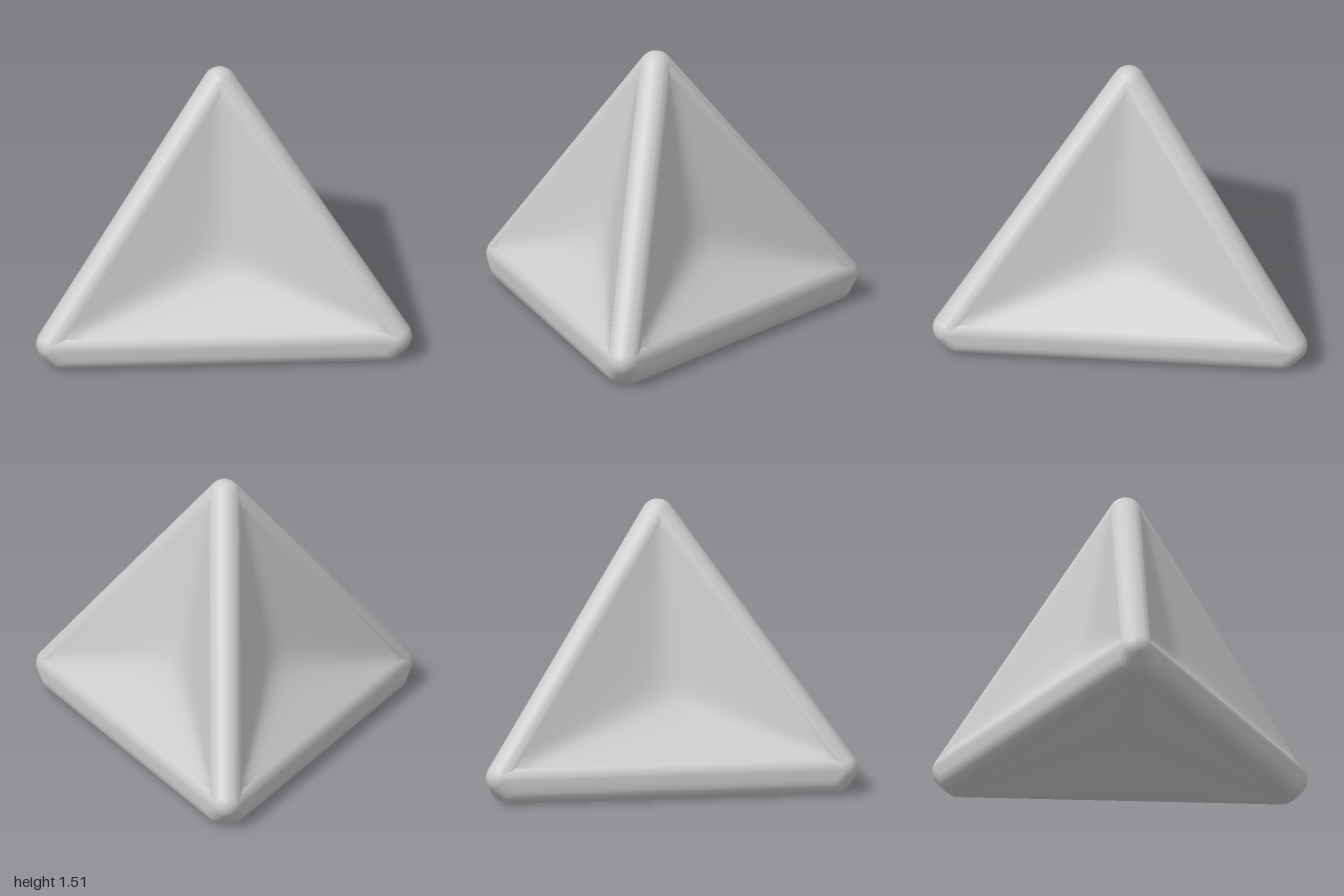
import * as THREE from 'three';
import { ConvexGeometry } from 'three/addons/geometries/ConvexGeometry.js';
import { toCreasedNormals } from 'three/addons/utils/BufferGeometryUtils.js';

const R = 0.09;          // edge rounding radius
const AXIS_Z = 0.27;     // vertical axis of the three-fold symmetry
const REACH = 1.05;      // corner distance from the axis
const TRIM = 0.05;       // how far the lower rim is cut back at each corner
const DENT = 0.172;      // depth of the hollow faces
const TILT = 0.38;       // slope of the hollow next to the edges

const corner = (i, y) => {
  const a = Math.PI + (i * 2 * Math.PI) / 3;
  return new THREE.Vector3(Math.sin(a) * REACH, y, AXIS_Z + Math.cos(a) * REACH);
};

// Smooth convex skin around equal spheres
function roundedHull(centres) {
  const ball = new THREE.SphereGeometry(R, 20, 14).attributes.position;
  const points = [];
  for (const c of centres) {
    for (let i = 0; i < ball.count; i++) {
      points.push(new THREE.Vector3().fromBufferAttribute(ball, i).add(c));
    }
  }
  return toCreasedNormals(new ConvexGeometry(points), 0.8);
}

// Triangular face sinking towards its middle, with softened valleys to the corners
function hollowFace(corners, weights, middle) {
  let [a, b, c] = corners;
  const normal = b.clone().sub(a).cross(c.clone().sub(a)).normalize();
  if (normal.dot(a.clone().sub(middle)) < 0) {
    normal.negate();
    [b, c] = [c, b];
  }
  // Inset towards the incentre so the face meets the rounded edges tangentially
  const la = b.distanceTo(c), lb = c.distanceTo(a), lc = a.distanceTo(b);
  const sum = la + lb + lc;
  const incentre = a.clone().multiplyScalar(la / sum).addScaledVector(b, lb / sum).addScaledVector(c, lc / sum);
  const area = b.clone().sub(a).cross(c.clone().sub(a)).length() / 2;
  const inset = (R * Math.sin(TILT)) / ((2 * area) / sum);
  const [p, q, r] = [a, b, c].map((v) => v.clone().lerp(incentre, inset).addScaledVector(normal, R * Math.cos(TILT)));

  const n = 36, k = 5, position = [], index = [];
  const row = (i) => (i * (i + 1)) / 2;
  for (let i = 0; i <= n; i++) {
    for (let j = 0; j <= i; j++) {
      const u = [1 - i / n, (i - j) / n, j / n];
      const depth = Math.min(...u) <= 0 ? 0
        : u.reduce((s, t, m) => s + (t / weights[m]) ** -k, 0) ** (-1 / k);
      const v = p.clone().multiplyScalar(u[0]).addScaledVector(q, u[1]).addScaledVector(r, u[2]);
      v.addScaledVector(normal, -DENT * depth);
      position.push(v.x, v.y, v.z);
      if (i < n) {
        const s = row(i) + j, t = row(i + 1) + j;
        index.push(s, t, t + 1);
        if (j < i) index.push(s, t + 1, s + 1);
      }
    }
  }
  const geometry = new THREE.BufferGeometry();
  geometry.setAttribute('position', new THREE.Float32BufferAttribute(position, 3));
  geometry.setIndex(index);
  geometry.computeVertexNormals();
  return geometry;
}

export function createModel() {
  const group = new THREE.Group();
  const material = new THREE.MeshStandardMaterial({ color: 0xcccccc });
  const add = (name, geometry) => {
    const mesh = new THREE.Mesh(geometry, material);
    mesh.name = name;
    group.add(mesh);
  };

  const apex = new THREE.Vector3(0, 1.425, AXIS_Z);
  const middle = new THREE.Vector3(0, 0.5, AXIS_Z);
  const upper = [0, 1, 2].map((i) => corner(i, 0.139));
  const lower = [0, 1, 2].map((i) => corner(i, R));
  const trimmed = (i, j) => lower[i].clone().add(lower[j].clone().sub(lower[i]).setLength(TRIM));

  for (let i = 0; i < 3; i++) {
    const j = (i + 1) % 3, k = (i + 2) % 3;
    add('slopingEdge', roundedHull([apex, upper[i]]));
    add('baseEdge', roundedHull([upper[i], upper[j], trimmed(i, j), trimmed(j, i)]));
    add('baseCorner', roundedHull([upper[i], trimmed(i, j), trimmed(i, k)]));
    add('sideFace', hollowFace([apex, upper[i], upper[j]], [0.3, 0.35, 0.35], middle));
  }
  add('bottomFace', hollowFace(lower, [1 / 3, 1 / 3, 1 / 3], middle));
  return group;
}
